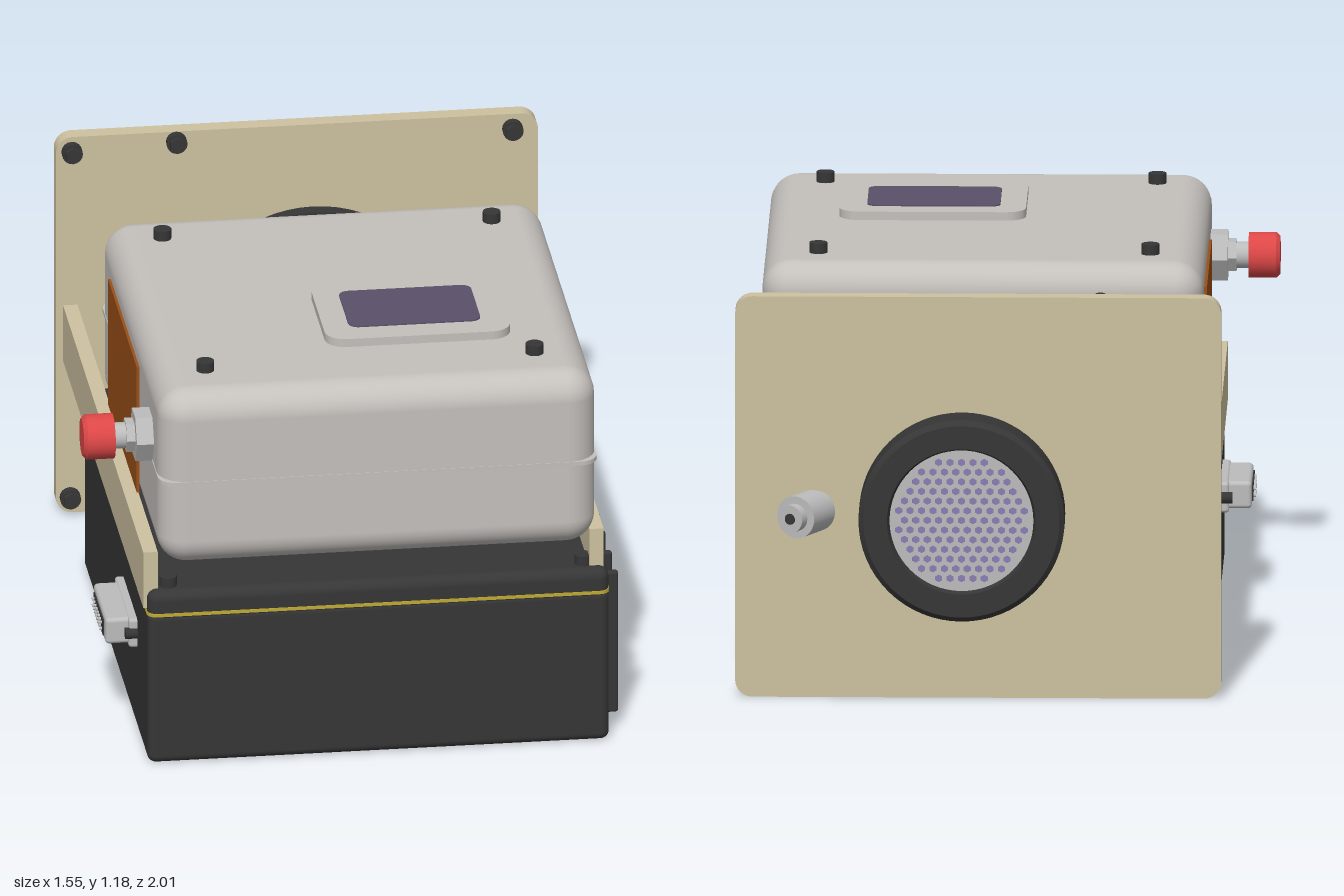
import * as THREE from 'three';
import { toCreasedNormals } from 'three/addons/utils/BufferGeometryUtils.js';
import { RoundedBoxGeometry } from 'three/addons/geometries/RoundedBoxGeometry.js';

const paint = (name, color) => {
  const m = new THREE.MeshStandardMaterial({ color });
  m.name = name;
  return m;
};
const M = {
  tan: paint('tan plate', 0xcdc2a0), shell: paint('pale shell', 0xc4c0bc),
  black: paint('black casing', 0x363636), yellow: paint('yellow gasket', 0xbfaa35),
  gold: paint('gold ring', 0xc9b37d), steel: paint('steel', 0xbcbcbc),
  violet: paint('window violet', 0x5a5068), lilac: paint('lilac', 0x8a7db4),
  red: paint('red cap', 0xdd4747), brown: paint('copper panel', 0x9a5018),
};

export function createModel() {
  const root = new THREE.Group();
  root.name = 'instrument';
  const add = (name, geo, mat, parent = root) => {
    const m = new THREE.Mesh(geo, mat);
    m.name = name;
    parent.add(m);
    return m;
  };
  // Box given by its min and max on each axis; r rounds the edges
  const box = (name, mat, [x0, x1], [y0, y1], [z0, z1], r = 0) => {
    const s = [x1 - x0, y1 - y0, z1 - z0];
    const g = r ? new RoundedBoxGeometry(...s, 5, r) : new THREE.BoxGeometry(...s);
    g.translate((x0 + x1) / 2, (y0 + y1) / 2, (z0 + z1) / 2);
    return add(name, g, mat);
  };
  // Cylinder running from point a to point b
  const rod = (name, mat, a, b, r, sides = 32, r2 = r) => {
    const A = new THREE.Vector3(...a), B = new THREE.Vector3(...b), d = B.clone().sub(A);
    let g = new THREE.CylinderGeometry(r2, r, d.length(), sides);
    if (sides < 9) g = toCreasedNormals(g, 0.3);
    const m = add(name, g, mat);
    m.position.copy(A).add(B).multiplyScalar(0.5);
    m.quaternion.setFromUnitVectors(new THREE.Vector3(0, 1, 0), d.normalize());
    return m;
  };
  const roundRect = (w, h, r) => {
    const s = new THREE.Shape(), x = w / 2 - r, y = h / 2 - r;
    s.absarc(x, y, r, 0, Math.PI / 2);
    s.absarc(-x, y, r, Math.PI / 2, Math.PI);
    s.absarc(-x, -y, r, Math.PI, Math.PI * 1.5);
    s.absarc(x, -y, r, Math.PI * 1.5, Math.PI * 2);
    return s;
  };
  const extrude = (shape, depth) => toCreasedNormals(
    new THREE.ExtrudeGeometry(shape, { depth, bevelEnabled: false, curveSegments: 8 }), 0.6);
  // Horizontal rounded slab given by its extents
  const slab = (name, mat, [x0, x1], [y0, y1], [z0, z1], r) => {
    const g = extrude(roundRect(x1 - x0, z1 - z0, r), y1 - y0);
    g.rotateX(-Math.PI / 2);
    g.translate((x0 + x1) / 2, y0, (z0 + z1) / 2);
    return add(name, g, mat);
  };

  // Lower casing, lid and gasket
  box('lowerCasing', M.black, [-0.61, 0.735], [0, 0.475], [-0.445, 0.995], 0.025);
  box('casingLid', M.black, [-0.61, 0.735], [0.44, 0.54], [-0.445, 0.995], 0.03);
  slab('gasket', M.yellow, [-0.612, 0.737], [0.464, 0.474], [-0.447, 0.997], 0.03);
  for (const x of [-0.545, 0.665]) for (const z of [-0.39, 0.94])
    rod('lidBolt', M.black, [x, 0.53, z], [x, 0.57, z], 0.025, 16);
  // Cooling fins
  for (let i = 0; i < 10; i++) {
    const z = 0.9 - i * 0.141;
    box('coolingFin', M.black, [0.72, 0.772], [0.05, 0.495], [z - 0.011, z + 0.011], 0.009);
  }

  // Upper shell with its lip
  box('upperShell', M.shell, [-0.575, 0.7], [0.61, 1.155], [-0.32, 0.995], 0.085);
  slab('shellLip', M.shell, [-0.577, 0.702], [0.874, 0.886], [-0.322, 0.997], 0.05);
  for (const x of [-0.42, 0.54]) for (const z of [-0.145, 0.81]) {
    rod('shellBolt', M.black, [x, 1.14, z], [x, 1.185, z], 0.026, 20);
  }
  slab('windowFrame', M.shell, [-0.05, 0.49], [1.14, 1.18], [0.29, 0.7], 0.06);
  slab('window', M.violet, [0.025, 0.41], [1.179, 1.184], [0.365, 0.62], 0.03);
  box('sidePanel', M.brown, [-0.583, -0.575], [0.64, 1.05], [-0.11, 0.53]);

  // Rails joining the casing to the end plate
  for (const [a, b] of [[-0.62, -0.578], [0.68, 0.722]])
    box('sideRail', M.tan, [a, b], [0.48, 0.655], [-0.835, 0.96]);

  // End plate and screws
  const plate = extrude(roundRect(1.405, 1.185, 0.05), 0.05);
  plate.translate(0.062, 0.5925, -0.88);
  add('endPlate', plate, M.tan);
  for (const [x, y] of [[-0.595, 1.14], [0.69, 1.14], [-0.6, 0.05], [0.69, 0.05], [-0.29, 1.155]]) {
    rod('plateScrew', M.black, [x, y, -0.835], [x, y, -0.805], 0.03, 16);
    rod('plateScrewHead', M.black, [x, y, -0.805], [x, y, -0.79], 0.024, 6);
  }

  // Round sensor head
  const cx = 0.108, cy = 0.546;
  const drum = (name, mat, z0, z1, r) => rod(name, mat, [cx, cy, z0], [cx, cy, z1], r, 64);
  drum('headFlange', M.black, -0.83, -0.785, 0.38);
  drum('headNeck', M.black, -0.79, -0.74, 0.285);
  drum('goldRing', M.gold, -0.75, -0.62, 0.303);
  drum('headCap', M.black, -0.63, -0.54, 0.296);
  rod('headCapChamfer', M.black, [cx, cy, -0.54], [cx, cy, -0.528], 0.296, 64, 0.28);
  for (let i = 0; i < 8; i++) {
    const a = (i + 0.1) * Math.PI / 4, x = cx + 0.342 * Math.cos(a), y = cy + 0.342 * Math.sin(a);
    rod('flangeScrew', M.black, [x, y, -0.79], [x, y, -0.755], 0.022, 12);
  }
  const bezel = toCreasedNormals(new THREE.LatheGeometry(
    [[0.298, 0.87], [0.298, 0.985], [0.283, 1], [0.215, 1], [0.205, 0.975]]
      .map(p => new THREE.Vector2(...p)), 64), 0.5);
  bezel.rotateX(-Math.PI / 2);
  add('bezel', bezel, M.black).position.set(cx, cy, 0);
  drum('meshBacking', M.lilac, -0.9, -0.976, 0.207);
  // Perforated grille
  const disc = new THREE.Shape();
  disc.absarc(0, 0, 0.208, 0, Math.PI * 2);
  const pitch = 0.033;
  for (let j = -7; j <= 7; j++) for (let i = -7; i <= 7; i++) {
    const x = (i + (j & 1 ? 0.5 : 0)) * pitch, y = j * pitch * 0.866;
    if (Math.hypot(x, y) > 0.186) continue;
    const hole = new THREE.Path();
    for (let k = 0; k < 6; k++) {
      const a = -k * Math.PI / 3 + Math.PI / 6, px = x + 0.012 * Math.cos(a), py = y + 0.012 * Math.sin(a);
      k ? hole.lineTo(px, py) : hole.moveTo(px, py);
    }
    hole.closePath();
    disc.holes.push(hole);
  }
  const grille = new THREE.ExtrudeGeometry(disc, { depth: 0.006, bevelEnabled: false, curveSegments: 32 });
  add('grille', grille, M.steel).position.set(cx, cy, -0.983);
  // Lilac pins on the head
  rod('pin', M.lilac, [0.33, 0.59, -0.55], [0.275, 0.56, -0.47], 0.022, 16);
  rod('pin', M.lilac, [0.36, 0.67, -0.68], [0.405, 0.71, -0.665], 0.022, 16);

  // Slanted port through the end plate
  rod('portBarrel', M.steel, [0.53, 0.55, -0.86], [0.588, 0.55, -0.965], 0.062);
  rod('portTip', M.steel, [0.58, 0.55, -0.95], [0.603, 0.55, -0.99], 0.04);
  rod('portCore', M.black, [0.6, 0.55, -0.985], [0.605, 0.55, -0.994], 0.016, 16);
  rod('portNut', M.tan, [0.545, 0.55, -0.84], [0.53, 0.55, -0.79], 0.05, 6);

  // Upright valve on the casing lid
  const vx = -0.34, vz = -0.4;
  for (const [name, mat, y0, y1, r] of [
    ['valveStem', M.steel, 0.53, 0.725, 0.05], ['valveCollar', M.steel, 0.66, 0.695, 0.062],
    ['valveBody', M.black, 0.725, 0.805, 0.088], ['valveBand', M.yellow, 0.805, 0.82, 0.082],
    ['valveTop', M.black, 0.82, 0.835, 0.086], ['valveCap', M.steel, 0.835, 0.872, 0.045],
  ]) rod(name, mat, [vx, y0, vz], [vx, y1, vz], r);

  // Cables
  const cable = (name, mat, r, pts) => add(name, new THREE.TubeGeometry(
    new THREE.CatmullRomCurve3(pts.map(p => new THREE.Vector3(...p))), 28, r, 10), mat);
  cable('yellowCable', M.yellow, 0.015, [[0.01, 0.6, -0.54], [-0.04, 0.6, -0.5], [-0.16, 0.6, -0.47], [-0.21, 0.59, -0.42], [-0.215, 0.53, -0.38]]);
  cable('greyCable', M.steel, 0.015, [[0.01, 0.595, -0.52], [-0.04, 0.595, -0.475], [-0.14, 0.595, -0.445], [-0.18, 0.585, -0.41], [-0.185, 0.53, -0.37]]);
  cable('redWire', M.red, 0.006, [[-0.26, 0.81, -0.4], [-0.21, 0.86, -0.385], [-0.16, 0.88, -0.35], [-0.15, 0.86, -0.31]]);
  cable('blackWire', M.black, 0.006, [[-0.26, 0.77, -0.39], [-0.22, 0.78, -0.37], [-0.17, 0.81, -0.34], [-0.15, 0.83, -0.31]]);

  // Red-capped side fitting
  const ky = 0.95, kz = 0.78;
  const fitting = (name, mat, x0, x1, r, n) => rod(name, mat, [x0, ky, kz], [x1, ky, kz], r, n);
  fitting('fittingNut', M.steel, -0.565, -0.625, 0.078, 6);
  fitting('fittingStem', M.steel, -0.62, -0.69, 0.038);
  fitting('fittingCollar', M.steel, -0.62, -0.65, 0.05, 6);
  fitting('redCap', M.red, -0.685, -0.765, 0.066);
  rod('redCapEdge', M.red, [-0.765, ky, kz], [-0.776, ky, kz], 0.066, 32, 0.055);

  // Multi-pin side connector
  box('connectorFlange', M.steel, [-0.635, -0.6], [0.262, 0.352], [0.43, 0.75], 0.01);
  box('connectorShell', M.steel, [-0.7, -0.62], [0.268, 0.348], [0.46, 0.73], 0.012);
  box('connectorInsert', M.black, [-0.704, -0.69], [0.285, 0.331], [0.49, 0.7]);
  for (let i = 0; i < 8; i++) for (const y of [0.298, 0.318])
    rod('connectorPin', M.steel, [-0.7, y, 0.51 + i * 0.024], [-0.711, y, 0.51 + i * 0.024], 0.005, 8);
  for (const z of [0.43, 0.745])
    rod('connectorScrew', M.black, [-0.6, 0.308, z], [-0.645, 0.308, z], 0.017, 12);

  return root;
}
